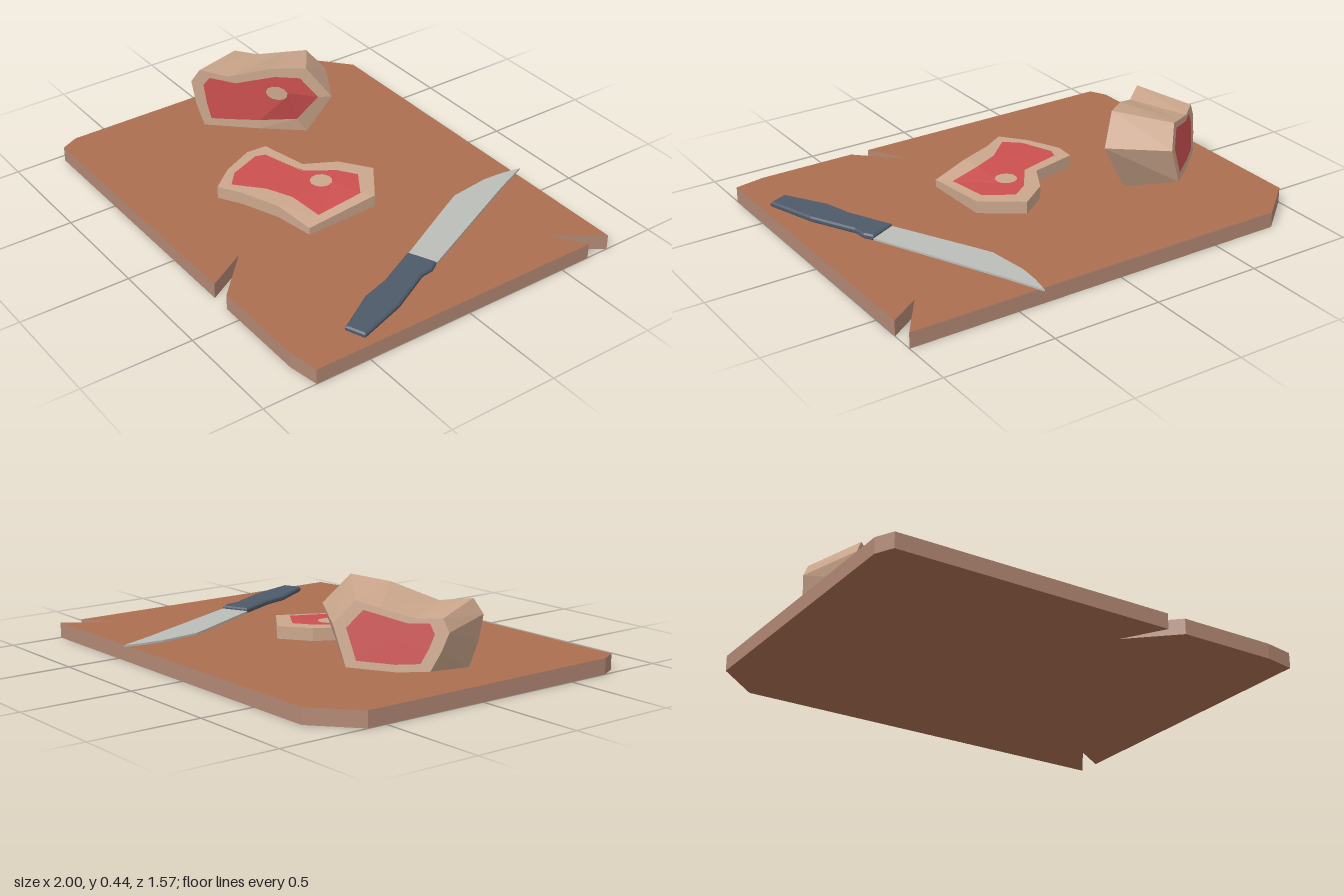
import * as THREE from 'three';

const mat = (name, color) => {
  const m = new THREE.MeshStandardMaterial({ color, flatShading: true });
  m.name = name;
  return m;
};

// Flat outline in (x, z), raised from y0 by the given height
function slab(name, outline, y0, height, material, bevel = 0) {
  const shape = new THREE.Shape(outline.map(([x, z]) => new THREE.Vector2(x, -z)));
  const geo = new THREE.ExtrudeGeometry(shape, {
    depth: height - 2 * bevel, bevelEnabled: bevel > 0, bevelSize: bevel,
    bevelThickness: bevel, bevelOffset: -bevel, bevelSegments: 1,
  });
  geo.rotateX(-Math.PI / 2).translate(0, y0 + bevel, 0);
  const mesh = new THREE.Mesh(geo, material);
  mesh.name = name;
  return mesh;
}

// Faceted skin through a chain of rings; a ring of one point closes it
function skin(name, rings, material) {
  const pos = [];
  for (let k = 0; k < rings.length - 1; k++) {
    const a = rings[k], b = rings[k + 1], n = Math.max(a.length, b.length);
    for (let i = 0; i < n; i++) {
      const a0 = a[i % a.length], a1 = a[(i + 1) % a.length];
      const b0 = b[i % b.length], b1 = b[(i + 1) % b.length];
      if (a.length > 1) pos.push(...a0, ...b0, ...a1);
      if (b.length > 1) pos.push(...b0, ...b1, ...a1);
    }
  }
  const geo = new THREE.BufferGeometry();
  geo.setAttribute('position', new THREE.Float32BufferAttribute(pos, 3));
  geo.computeVertexNormals();
  const mesh = new THREE.Mesh(geo, material);
  mesh.name = name;
  return mesh;
}

// Small ring of points around a centre, in two dimensions
const circle = (cx, cy, rx, ry, start, n = 11) => Array.from({ length: n }, (_, i) => {
  const a = start + (i / n) * Math.PI * 2;
  return [cx + rx * Math.cos(a), cy + ry * Math.sin(a)];
});

export function createModel() {
  const wood = mat('wood', 0xab6e50);
  const woodEdge = mat('wood edge', 0xb28874);
  const fat = mat('fat', 0xcba68c);
  const meat = mat('meat', 0xcc5050);
  const steel = mat('steel', 0xbbbdb8);
  const grip = mat('grip', 0x4e5a69);
  const model = new THREE.Group();
  model.name = 'cuttingBoardWithMeat';

  // Board with cut corners and two splits
  model.add(slab('board', [
    [-0.81, -0.755], [1, -0.755], [0.855, -0.55], [1, -0.645], [1, 0.755], [0.86, 0.78],
    [0.41, 0.78], [0.21, 0.59], [0.32, 0.78], [-0.96, 0.78], [-1, 0.7], [-1, -0.59],
  ], 0, 0.07, [wood, woodEdge]));

  // Knife
  const knife = new THREE.Group();
  knife.name = 'knife';
  knife.add(slab('blade', [
    [0.4, -0.785], [0.47, -0.62], [0.745, -0.03], [0.625, 0.025], [0.44, -0.33],
    [0.4, -0.41], [0.377, -0.6], [0.383, -0.69],
  ], 0.073, 0.009, steel));
  knife.add(slab('handle', [
    [0.625, 0.025], [0.745, -0.03], [0.772, 0.01], [0.78, 0.07], [0.885, 0.27], [0.96, 0.495],
    [0.875, 0.53], [0.76, 0.345], [0.72, 0.215], [0.655, 0.085],
  ], 0.069, 0.026, grip, 0.007));
  model.add(knife);

  // Lying slice, with one corner sagging
  const sliceOuter = [
    [0.088, -0.2], [0.265, -0.075], [0.262, 0.267], [0.09, 0.31], [-0.085, 0.38], [-0.185, 0.44],
    [-0.275, 0.33], [-0.345, 0.18], [-0.34, 0.085], [-0.12, 0.035], [-0.045, -0.105],
  ];
  const sliceInner = [
    [0.09, -0.115], [0.215, -0.035], [0.22, 0.19], [0.07, 0.22], [-0.05, 0.275], [-0.165, 0.38],
    [-0.235, 0.32], [-0.295, 0.17], [-0.28, 0.125], [-0.08, 0.07], [0.01, -0.06],
  ];
  const level = (ring, y, sag) => ring.map(([x, z], i) => [x, i === 2 ? y - sag : y, z]);
  const sTop = level(sliceOuter, 0.14, 0.035);
  const sMeat = level(sliceInner, 0.14, 0.022);
  const sBone = level(circle(0.035, 0.045, 0.05, 0.05, -1.24), 0.14, 0);
  const slice = new THREE.Group();
  slice.name = 'slice';
  slice.add(
    skin('sliceFat', [level(sliceOuter, 0.083, 0.012), sTop, sMeat], fat),
    skin('sliceUnderside', [[[0.03, 0.083, 0.1]], level(sliceOuter, 0.083, 0.012)], meat),
    skin('sliceMeat', [sMeat, sBone], meat),
    skin('sliceBone', [sBone, [[0.035, 0.14, 0.045]]], fat),
  );
  model.add(slice);

  // Standing joint: outlines in (x, y), laid on two slanting planes
  const frontZ = (x) => 0.155 - 0.832 * (x + 0.765);
  const onFront = (ring, dip) => ring.map(([x, y], i) => [x, y, frontZ(x) - (i === 2 ? dip : 0)]);
  const onBack = (ring) => ring.map(([x, y]) =>
    [x, y, -0.095 - 0.836 * (x + 0.875) - 0.18 * (0.385 - y)]);
  const jOuter = onFront([
    [-0.377, 0.44], [-0.286, 0.312], [-0.425, 0.077], [-0.55, 0.09], [-0.65, 0.08], [-0.757, 0.07],
    [-0.785, 0.18], [-0.8, 0.295], [-0.767, 0.36], [-0.66, 0.345], [-0.505, 0.415],
  ], 0.075);
  const jMeat = onFront([
    [-0.4, 0.385], [-0.335, 0.3], [-0.445, 0.145], [-0.55, 0.135], [-0.65, 0.12], [-0.73, 0.11],
    [-0.745, 0.19], [-0.755, 0.285], [-0.73, 0.325], [-0.635, 0.315], [-0.49, 0.375],
  ], 0.05);
  const jBone = onFront(circle(-0.485, 0.29, 0.04, 0.035, -0.84)
    .map(([x, y]) => [x, 0.58 - y]), 0);
  const backOutline = [
    [-0.6, 0.385], [-0.54, 0.29], [-0.6, 0.12], [-0.68, 0.115], [-0.76, 0.11], [-0.86, 0.12],
    [-0.885, 0.2], [-0.9, 0.275], [-0.875, 0.33], [-0.79, 0.325], [-0.68, 0.36],
  ];
  const backCentre = [-0.72, 0.235];
  const backMeat = onBack(backOutline.map((p) => p.map((v, k) => backCentre[k] + (v - backCentre[k]) * 0.76)));
  const joint = new THREE.Group();
  joint.name = 'joint';
  joint.add(
    skin('jointFat', [backMeat, onBack(backOutline), jOuter, jMeat], fat),
    skin('jointBackMeat', [onBack([backCentre]), backMeat], meat),
    skin('jointFrontMeat', [jMeat, jBone], meat),
    skin('jointBone', [jBone, [[-0.485, 0.29, frontZ(-0.485)]]], fat),
  );
  model.add(joint);
  return model;
}
